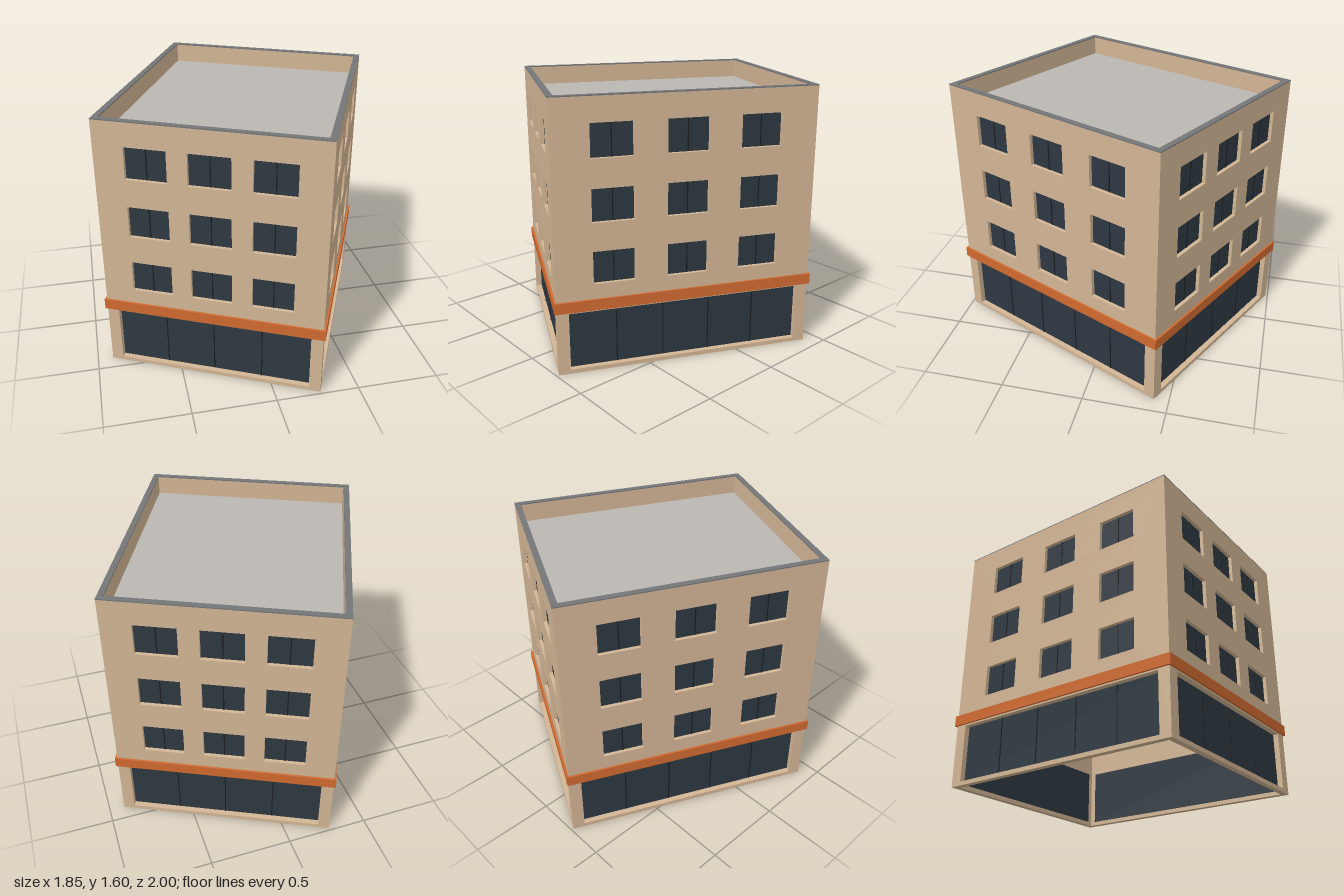
import * as THREE from 'three';

const mat = (name, color) => {
  const m = new THREE.MeshStandardMaterial({ color });
  m.name = name;
  return m;
};

const T = 0.035; // wall thickness
const H = 1.6; // total height
const CAP = 0.006; // coping thickness

// Wall corners as [x, z], running left to right around the outside
const corners = [[-0.908, 0.41], [0.267, 0.985], [0.908, -0.41], [-0.267, -0.985]];

// Moves the end vertices so that neighbouring sides meet in a mitre
function mitre(geo, length) {
  const p = geo.attributes.position;
  for (let i = 0; i < p.count; i++) {
    if (p.getX(i) < 1e-4) p.setX(i, -p.getZ(i));
    else if (p.getX(i) > length - 1e-4) p.setX(i, length + p.getZ(i));
  }
  geo.computeVertexNormals();
  return geo;
}

// Box given by its limits
function span(x0, x1, y0, y1, z0, z1) {
  return new THREE.BoxGeometry(x1 - x0, y1 - y0, z1 - z0)
    .translate((x0 + x1) / 2, (y0 + y1) / 2, (z0 + z1) / 2);
}

function rectangle(Type, x0, x1, y0, y1) {
  const r = new Type();
  r.moveTo(x0, y0);
  r.lineTo(x1, y0);
  r.lineTo(x1, y1);
  r.lineTo(x0, y1);
  r.closePath();
  return r;
}

export function createModel() {
  const wallMat = mat('tan wall', 0xd2b594);
  const bandMat = mat('orange band', 0xd06a30);
  const glassMat = mat('dark glass', 0x2e3841);
  const barMat = mat('black bar', 0x1a1d20);
  const copingMat = mat('grey coping', 0x737578);
  const roofMat = mat('light grey roof', 0xbab6b2);

  const model = new THREE.Group();
  model.name = 'building';
  const add = (parent, name, geo, material) => {
    const mesh = new THREE.Mesh(geo, material);
    mesh.name = name;
    parent.add(mesh);
  };

  corners.forEach(([x, z], i) => {
    const [nx, nz] = corners[(i + 1) % 4];
    const L = Math.hypot(nx - x, nz - z);
    const wide = i % 2 === 1;

    // Local frame: x along the wall, z outwards
    const side = new THREE.Group();
    side.name = ['frontSide', 'leftSide', 'backSide', 'rightSide'][i];
    side.position.set(x, 0, z);
    side.rotation.y = Math.atan2(z - nz, nx - x);
    model.add(side);

    // Openings: one shopfront and three rows of three windows
    const openings = [{
      name: 'shopfront', x0: 0.07, x1: L - 0.07, y0: 0.025, y1: 0.375,
      depth: 0.033, panes: wide ? 5 : 4,
    }];
    const pitch = wide ? 0.431 : 0.357;
    for (const y of [0.54, 0.9, 1.26]) {
      for (const k of [-1, 0, 1]) {
        const c = L / 2 + k * pitch;
        openings.push({
          name: 'window', x0: c - 0.12, x1: c + 0.12, y0: y, y1: y + 0.192,
          depth: 0.022, panes: 2,
        });
      }
    }

    // Wall with the openings cut through
    const shape = rectangle(THREE.Shape, 0, L, 0, H - CAP);
    for (const o of openings) shape.holes.push(rectangle(THREE.Path, o.x0, o.x1, o.y0, o.y1));
    const wall = new THREE.ExtrudeGeometry(shape, { depth: T, bevelEnabled: false });
    add(side, 'wall', mitre(wall.translate(0, 0, -T), L), wallMat);

    // Recessed glass with thin bars between the panes
    for (const o of openings) {
      add(side, o.name + 'Glass', span(o.x0, o.x1, o.y0, o.y1, -o.depth - 0.006, -o.depth), glassMat);
      for (let k = 1; k < o.panes; k++) {
        const bx = o.x0 + (o.x1 - o.x0) * k / o.panes;
        add(side, o.name + 'Bar', span(bx - 0.003, bx + 0.003, o.y0, o.y1, -o.depth, -o.depth + 0.003), barMat);
      }
    }

    // Projecting band above the shopfront and coping on the parapet
    add(side, 'band', mitre(span(0, L, 0.385, 0.45, -0.005, 0.012), L), bandMat);
    add(side, 'coping', mitre(span(0, L, H - CAP, H, -T, 0), L), copingMat);
  });

  // Flat roof sunk behind the parapet
  const outline = new THREE.Shape(corners.map(([x, z]) => new THREE.Vector2(x * 0.98, -z * 0.98)));
  const roof = new THREE.ExtrudeGeometry(outline, { depth: 0.02, bevelEnabled: false });
  add(model, 'roof', roof.rotateX(-Math.PI / 2).translate(0, 1.46, 0), roofMat);

  return model;
}
